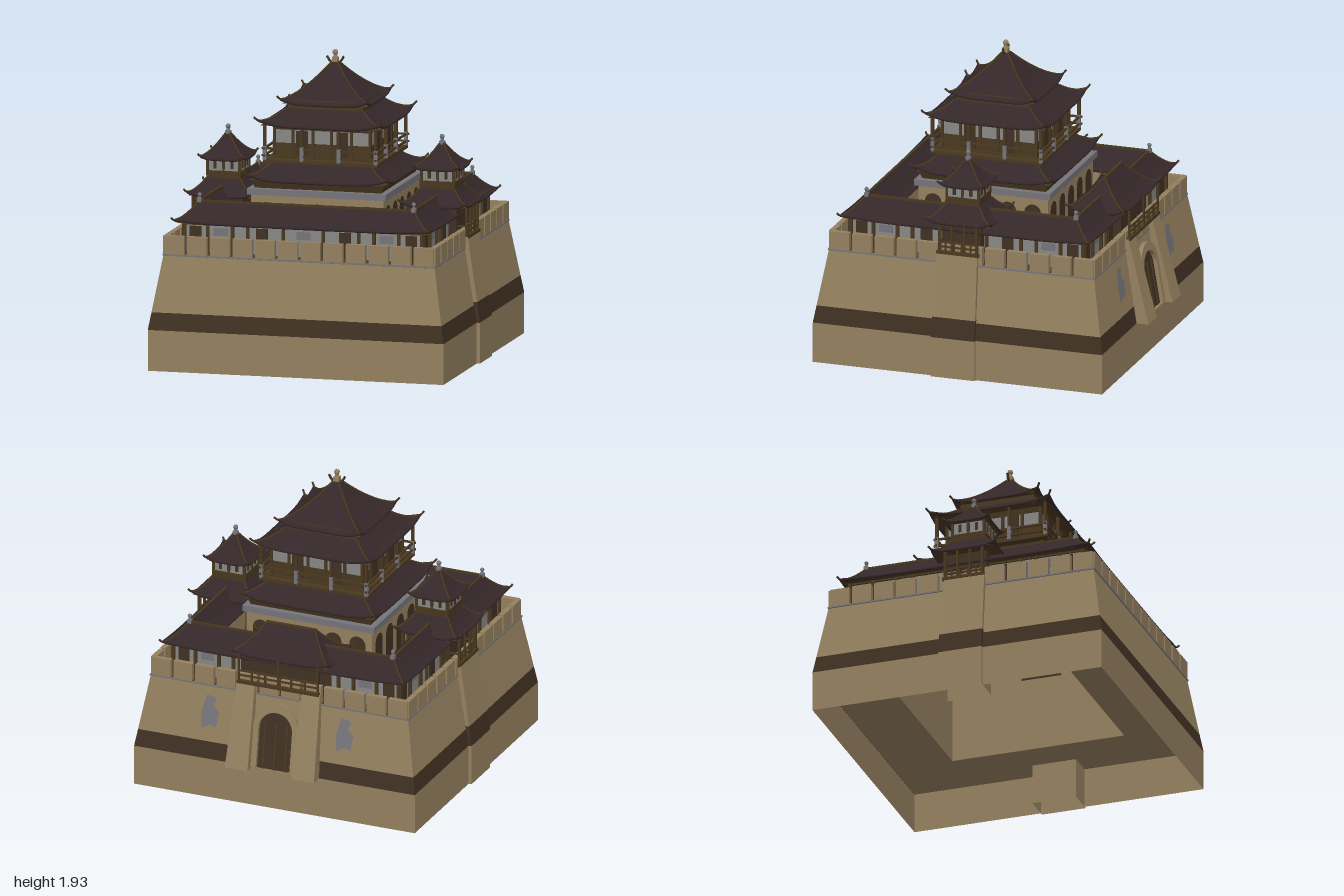
import * as THREE from 'three';

const mat = (name, color) => {
  const m = new THREE.MeshStandardMaterial({ color, side: THREE.DoubleSide });
  m.name = name;
  return m;
};

export function createModel() {
  const tan = mat('sandstone', 0x94805f), band = mat('dark band', 0x403022);
  const tile = mat('roof tile', 0x34272a), wood = mat('wood', 0x49381f);
  const plaster = mat('plaster', 0x878785), grey = mat('grey stone', 0x74747a);

  const root = new THREE.Group();
  root.name = 'fortress';
  const group = (parent, name, x = 0, y = 0, z = 0) => {
    const g = new THREE.Group();
    g.name = name;
    g.position.set(x, y, z);
    parent.add(g);
    return g;
  };
  const add = (parent, name, geo, material, x = 0, y = 0, z = 0) => {
    const m = new THREE.Mesh(geo, material);
    m.name = name;
    m.position.set(x, y, z);
    parent.add(m);
    return m;
  };
  const box = (p, name, m, w, h, d, x, y, z) => add(p, name, new THREE.BoxGeometry(w, h, d), m, x, y, z);
  const surface = (pos) => {
    const g = new THREE.BufferGeometry();
    g.setAttribute('position', new THREE.Float32BufferAttribute(pos, 3));
    return g;
  };
  // rectangular cross-sections [x0, x1, z0, z1, y] joined by flat faces
  const sq = (h, y) => [-h, h, -h, h, y];
  const loft = (p, name, m, ...sections) => {
    const ring = ([x0, x1, z0, z1, y]) => [[x1, y, z1], [x1, y, z0], [x0, y, z0], [x0, y, z1]];
    const pos = [];
    for (let i = 0; i + 1 < sections.length; i++) {
      const a = ring(sections[i]), b = ring(sections[i + 1]);
      for (let k = 0; k < 4; k++) {
        const n = (k + 1) % 4;
        pos.push(...a[k], ...a[n], ...b[n], ...a[k], ...b[n], ...b[k]);
      }
    }
    const g = surface(pos);
    g.computeVertexNormals();
    return add(p, name, g, m);
  };
  const perSide = (parent, name, build) => {
    for (let k = 0; k < 4; k++) {
      const g = group(parent, name);
      g.rotation.y = k * Math.PI / 2;
      build(g, k);
    }
  };
  // curved hipped roof: eave half sizes, top half sizes, heights, corner lift
  const roof = (parent, name, ex, ez, tx, tz, y0, y1, lift, tip = 0.02, soffit = true) => {
    const g = group(parent, name);
    const point = (k, u, t) => {
      const hx = ex + (tx - ex) * t, hz = ez + (tz - ez) * t;
      const y = y0 + (y1 - y0) * t ** 1.35 + lift * Math.abs(u) ** 5 * (1 - t) ** 2;
      return [[u * hx, y, hz], [hx, y, -u * hz], [-u * hx, y, -hz], [-hx, y, u * hz]][k];
    };
    const N = 12, M = 6;
    for (let k = 0; k < 4; k++) {
      const pos = [], idx = [];
      for (let j = 0; j <= M; j++) for (let i = 0; i <= N; i++) pos.push(...point(k, i / N * 2 - 1, j / M));
      for (let j = 0; j < M; j++) for (let i = 0; i < N; i++) {
        const a = j * (N + 1) + i, b = a + N + 1;
        idx.push(a, a + 1, b + 1, a, b + 1, b);
      }
      const s = surface(pos);
      s.setIndex(idx);
      s.computeVertexNormals();
      add(g, 'roofSlope', s, tile);
      // hip ridge with an upturned tip
      const hip = [1, 0.75, 0.5, 0.25, 0].map((t) => new THREE.Vector3(...point(k, 1, t)));
      const e = hip[4];
      if (tip) hip.push(new THREE.Vector3(e.x + Math.sign(e.x) * tip, e.y + tip * 1.2, e.z + Math.sign(e.z) * tip));
      add(g, 'hipRidge', new THREE.TubeGeometry(new THREE.CatmullRomCurve3(hip), 14, 0.007, 5), wood);
      // rim along the eave
      const rim = Array.from({ length: 9 }, (_, i) => new THREE.Vector3(...point(k, i / 4 - 1, 0)));
      add(g, 'eaveRim', new THREE.TubeGeometry(new THREE.CatmullRomCurve3(rim), 16, 0.008, 4), tile);
    }
    if (soffit) loft(g, 'soffit', wood, [-tx * 0.9, tx * 0.9, -tz * 0.9, tz * 0.9, y0 + 0.005], [-ex * 0.97, ex * 0.97, -ez * 0.97, ez * 0.97, y0 + 0.002]);
    return g;
  };
  const finial = (parent, m, x, y, z, s = 1) => {
    const g = group(parent, 'finial', x, y, z);
    g.scale.setScalar(s);
    box(g, 'finialBase', m, 0.032, 0.03, 0.032, 0, 0.015, 0);
    add(g, 'finialNeck', new THREE.CylinderGeometry(0.01, 0.013, 0.02, 8), m, 0, 0.038, 0);
    add(g, 'finialKnob', new THREE.SphereGeometry(0.016, 10, 8), m, 0, 0.058, 0);
  };
  const arch = (w, h) => {
    const s = new THREE.Shape();
    s.moveTo(-w, 0); s.lineTo(w, 0); s.lineTo(w, h);
    s.absarc(0, h, w, 0, Math.PI, false);
    s.lineTo(-w, 0);
    return s;
  };

  const fort = group(root, 'fort', 0, 0, 0.04);

  // rampart: hollow plinth, dark band, sloped wall, walkway and court walls
  loft(fort, 'plinth', tan, sq(0.96, 0), sq(0.96, 0.26));
  loft(fort, 'plinthCeiling', tan, sq(0.57, 0.262), sq(0.958, 0.26));
  loft(fort, 'wallBand', band, sq(0.96, 0.26), sq(0.941, 0.37));
  loft(fort, 'slopedWall', tan, sq(0.941, 0.37), sq(0.88, 0.73));
  loft(fort, 'wallCornice', grey, sq(0.878, 0.722), sq(0.886, 0.724), sq(0.886, 0.734), sq(0.86, 0.735));
  loft(fort, 'walkway', wood, sq(0.88, 0.736), sq(0.57, 0.737));
  loft(fort, 'courtWall', tan, sq(0.57, 0.92), sq(0.57, 0.26));
  perSide(fort, 'parapet', (g) => {
    for (let i = 0; i < 12; i++) box(g, 'merlon', tan, 0.127, 0.116, 0.035, (i - 5.5) * 0.147, 0.792, 0.866);
  });

  // gallery around the court
  const gallery = group(fort, 'gallery');
  loft(gallery, 'galleryWall', plaster, sq(0.77, 0.736), sq(0.77, 0.93));
  perSide(gallery, 'gallerySide', (g) => {
    box(g, 'galleryBeam', wood, 1.56, 0.02, 0.02, 0, 0.92, 0.772);
    for (const x of [-0.77, -0.62, -0.46, -0.36, -0.13, 0.13, 0.36, 0.46, 0.62, 0.77])
      box(g, 'galleryPillar', wood, 0.02, 0.19, 0.025, x, 0.83, 0.775);
    for (const x of [-0.7, -0.27, 0.27, 0.7]) box(g, 'galleryDoor', band, 0.075, 0.165, 0.008, x, 0.82, 0.774);
    for (const x of [-0.54, 0, 0.54]) box(g, 'galleryPatch', grey, 0.09, 0.05, 0.006, x, 0.87, 0.772);
    box(g, 'galleryRidge', wood, 1.39, 0.014, 0.014, 0, 1.05, 0.695);
  });
  roof(gallery, 'outerRoof', 0.825, 0.825, 0.695, 0.695, 0.925, 1.05, 0.015, 0.015, false);
  roof(gallery, 'innerRoof', 0.563, 0.563, 0.695, 0.695, 0.925, 1.05, 0, 0, false);
  loft(gallery, 'gallerySoffit', wood, sq(0.57, 0.922), sq(0.815, 0.922));
  for (const x of [-1, 1]) for (const z of [-1, 1]) finial(gallery, grey, x * 0.695, 1.04, z * 0.695, 0.85);

  // side towers with buttresses
  for (const s of [-1, 1]) {
    const b = group(fort, 'sideButtress', 0, 0, 0.025);
    b.rotation.y = s > 0 ? 0 : Math.PI;
    if (s < 0) b.scale.z = 1;
    const part = (n, m, ...rows) => loft(b, n, m, ...rows.map(([x, h, y]) => [0.8, x, -h, h, y]));
    part('buttressBase', tan, [0.98, 0.145, 0], [0.98, 0.145, 0.26]);
    part('buttressBand', band, [0.98, 0.145, 0.26], [0.962, 0.143, 0.39]);
    part('buttressWall', tan, [0.962, 0.143, 0.39], [0.9, 0.135, 0.8], [0.8, 0.1, 0.8]);

    const t = group(fort, 'sideTower', s * 0.695, 0, 0.02);
    loft(t, 'towerBase', band, sq(0.13, 0.74), sq(0.13, 1.0));
    box(t, 'towerDeck', wood, 0.42, 0.02, 0.28, 0, 0.8, 0);
    perSide(t, 'towerSide', (g) => {
      const reach = g.rotation.y === 0 || Math.abs(g.rotation.y - Math.PI) < 0.1 ? 0.12 : 0.195;
      const half = reach > 0.15 ? 0.125 : 0.19;
      for (const u of [-1, -0.33, 0.33, 1]) {
        box(g, 'towerPost', wood, 0.014, 0.22, 0.014, u * half, 0.89, reach);
        box(g, 'railPost', wood, 0.01, 0.07, 0.01, u * half * 0.66, 0.83, reach);
      }
      for (const y of [0.835, 0.865]) box(g, 'towerRail', wood, half * 2, 0.01, 0.01, 0, y, reach);
      for (const u of [-1, 0, 1]) {
        box(g, 'towerMullion', wood, 0.014, 0.1, 0.014, u * 0.103, 1.17, 0.107);
        box(g, 'towerWindow', band, 0.02, 0.05, 0.006, u * 0.055, 1.18, 0.109);
      }
    });
    roof(t, 'lowerRoof', 0.21, 0.21, 0.105, 0.105, 0.99, 1.1, 0.025, 0.016);
    loft(t, 'towerSill', wood, sq(0.11, 1.08), sq(0.113, 1.14), sq(0.1, 1.142));
    loft(t, 'towerWall', plaster, sq(0.107, 1.14), sq(0.107, 1.215));
    roof(t, 'upperRoof', 0.142, 0.142, 0.012, 0.012, 1.215, 1.365, 0.02, 0.012);
    finial(t, grey, 0, 1.35, 0);
  }

  // rear gatehouse: jambs, arched gate, balcony and hipped roof
  const gate = group(fort, 'gatehouse');
  for (const s of [-1, 1]) {
    const a = s > 0 ? [0.15, 0.305] : [-0.305, -0.15], c = s > 0 ? [0.16, 0.285] : [-0.285, -0.16];
    loft(gate, 'gateJamb', tan, [...a, -0.94, -0.94, 0.262], [...a, -1.04, -0.94, 0.26], [...c, -0.9, -0.86, 0.8], [...c, -0.86, -0.86, 0.8]);
    // worn plaster patches on the rear slope
    const patch = new THREE.Shape([[-0.05, 0], [0, 0.03], [0.045, 0.02], [0.06, 0.12], [0.02, 0.15], [0.04, 0.21], [-0.03, 0.22], [-0.06, 0.1]].map(([x, y]) => new THREE.Vector2(x, y)));
    const p = add(gate, 'wornPatch', new THREE.ShapeGeometry(patch), grey, s * 0.46, 0.45, -0.931);
    p.rotation.set(-0.168, Math.PI, 0, 'YXZ');
  }
  const portal = group(gate, 'portal', 0, 0.265, -0.963);
  portal.rotation.set(-0.168, Math.PI, 0, 'YXZ');
  const frame = arch(0.15, 0.28);
  frame.holes.push(arch(0.115, 0.26));
  add(portal, 'gateFrame', new THREE.ExtrudeGeometry(frame, { depth: 0.03, bevelEnabled: false, curveSegments: 16 }), tan);
  add(portal, 'gateDoor', new THREE.ShapeGeometry(arch(0.12, 0.26), 16), band, 0, 0, 0.006);
  for (const x of [-0.075, 0, 0.075]) box(portal, 'doorBatten', wood, 0.012, 0.3, 0.008, x, 0.15, 0.009);

  loft(gate, 'gateRoom', band, [-0.23, 0.23, -0.83, -0.58, 0.74], [-0.23, 0.23, -0.83, -0.58, 0.99]);
  box(gate, 'gateBalcony', wood, 0.56, 0.02, 0.1, 0, 0.8, -0.86);
  for (let i = 0; i < 7; i++) box(gate, 'balconyPost', wood, 0.012, i % 3 ? 0.08 : 0.19, 0.012, (i - 3) * 0.09, i % 3 ? 0.84 : 0.89, -0.9);
  for (const y of [0.845, 0.875]) box(gate, 'balconyRail', wood, 0.55, 0.01, 0.01, 0, y, -0.9);
  const gr = roof(gate, 'gateRoof', 0.325, 0.185, 0.165, 0.008, 0.97, 1.14, 0.025, 0.016);
  gr.position.z = -0.695;
  box(gr, 'gateRidge', wood, 0.34, 0.018, 0.018, 0, 1.142, 0);

  // central keep
  const keep = group(fort, 'keep', 0, 0, 0.015);
  loft(keep, 'keepBase', tan, sq(0, 0.76), sq(0.43, 0.76), sq(0.43, 1.06));
  loft(keep, 'keepBand', grey, sq(0.42, 1.06), sq(0.45, 1.06), sq(0.45, 1.1), sq(0.41, 1.1));
  loft(keep, 'keepCornice', wood, sq(0.41, 1.1), sq(0.43, 1.155));
  roof(keep, 'firstRoof', 0.455, 0.455, 0.3, 0.3, 1.15, 1.27, 0.035, 0.02);
  loft(keep, 'balconyFloor', wood, sq(0.3, 1.255), sq(0.37, 1.255), sq(0.37, 1.275), sq(0.3, 1.276));
  loft(keep, 'lowerPanel', wood, sq(0.31, 1.27), sq(0.31, 1.375));
  loft(keep, 'keepWall', plaster, sq(0.308, 1.375), sq(0.308, 1.46));
  loft(keep, 'keepLintel', wood, sq(0.312, 1.46), sq(0.325, 1.52));
  perSide(keep, 'keepSide', (g) => {
    for (let i = 0; i < 5; i++) {
      const m = add(g, 'archNiche', new THREE.ShapeGeometry(arch(0.055, 0.17), 10), band, (i - 2) * 0.165, 0.79, 0.433);
      m.name = 'archNiche';
    }
    for (const x of [-0.31, -0.19, -0.06, 0.06, 0.19, 0.31]) box(g, 'wallPillar', wood, 0.018, 0.2, 0.018, x, 1.38, 0.31);
    for (const x of [-0.13, 0.13]) box(g, 'keepDoor', band, 0.075, 0.16, 0.008, x, 1.375, 0.313);
    for (const x of [-0.36, -0.12, 0.12]) {
      box(g, 'postFoot', grey, 0.022, 0.09, 0.022, x, 1.315, 0.36);
      box(g, 'keepPost', wood, 0.018, 0.15, 0.018, x, 1.43, 0.36);
    }
    for (const y of [1.3, 1.345]) box(g, 'keepRail', wood, 0.76, 0.012, 0.012, 0, y, 0.362);
  });
  roof(keep, 'secondRoof', 0.395, 0.395, 0.25, 0.25, 1.49, 1.585, 0.035, 0.02);
  loft(keep, 'atticWall', wood, sq(0.245, 1.55), sq(0.245, 1.64));
  roof(keep, 'topRoof', 0.28, 0.28, 0.018, 0.018, 1.615, 1.85, 0.03, 0.018);
  for (const s of [-1, 1]) {
    const horn = new THREE.CatmullRomCurve3([[0, 1.845], [0.03, 1.85], [0.055, 1.885]].map(([x, y]) => new THREE.Vector3(s * x, y, 0)));
    add(keep, 'ridgeHorn', new THREE.TubeGeometry(horn, 8, 0.008, 6), wood);
  }
  finial(keep, tan, 0, 1.845, 0, 1.15);

  return root;
}
